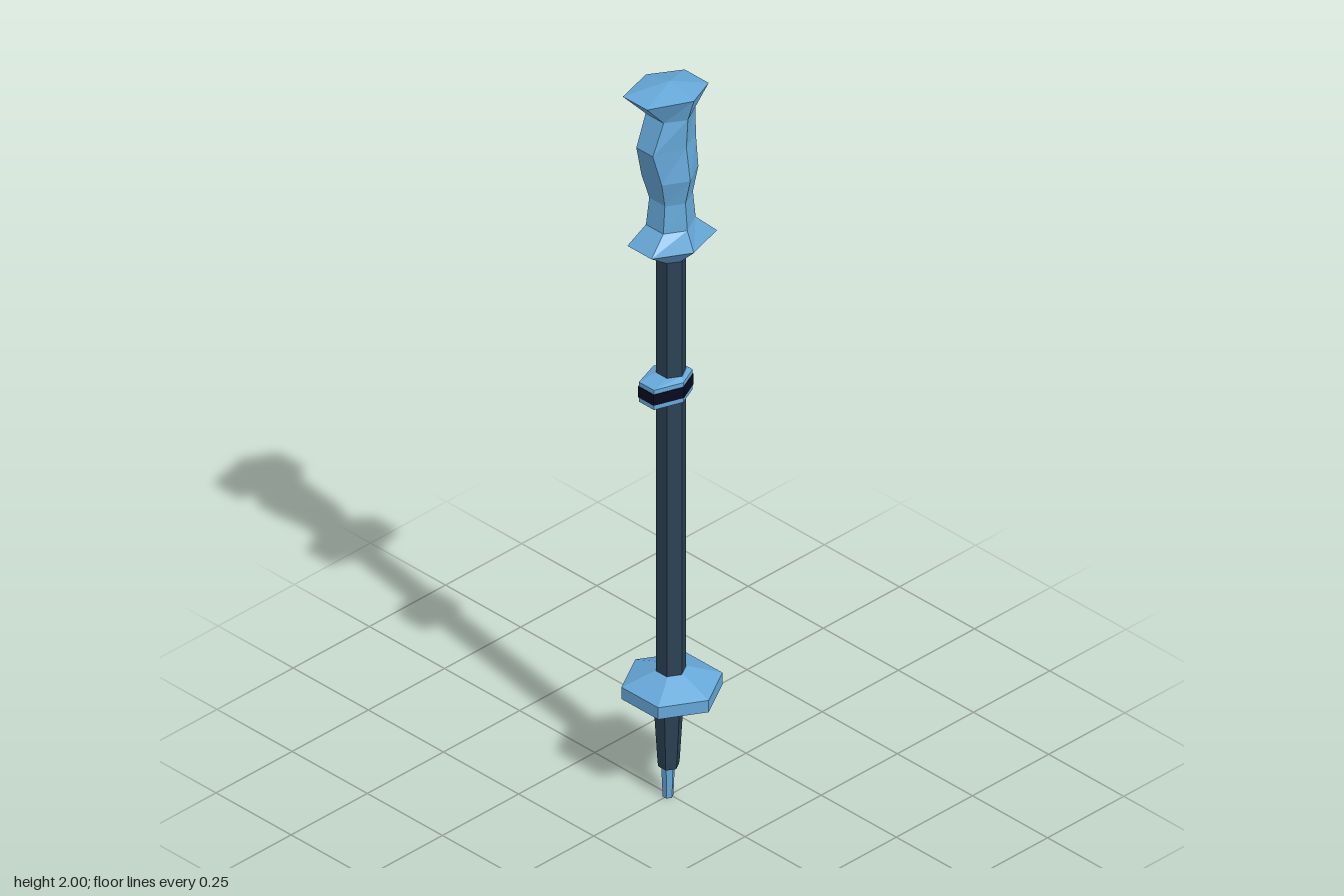
import * as THREE from 'three';

// Hexagonal ring: side points at +-half, flat edges at front and back,
// each of which may sit a little higher or lower than the sides.
function hexRing({ y, half, front, back, mid = 0, frontY = y, backY = y }) {
  const w = half / 2;
  return [
    [half, y, mid], [w, backY, back], [-w, backY, back],
    [-half, y, mid], [-w, frontY, front], [w, frontY, front],
  ];
}

// Skin rings listed from bottom to top, closing both ends with fans.
function loft(rings, bottom, top) {
  const pos = [];
  const tri = (a, b, c) => pos.push(...a, ...b, ...c);
  for (let r = 0; r < rings.length - 1; r++) {
    const lo = rings[r], hi = rings[r + 1];
    for (let i = 0; i < 6; i++) {
      const j = (i + 1) % 6;
      tri(lo[i], lo[j], hi[j]);
      tri(lo[i], hi[j], hi[i]);
    }
  }
  const first = rings[0], last = rings[rings.length - 1];
  for (let i = 0; i < 6; i++) {
    const j = (i + 1) % 6;
    tri(bottom, first[j], first[i]);
    tri(top, last[i], last[j]);
  }
  const g = new THREE.BufferGeometry();
  g.setAttribute('position', new THREE.Float32BufferAttribute(pos, 3));
  g.computeVertexNormals();
  return g;
}

export function createModel() {
  const group = new THREE.Group();
  const material = (name, color) =>
    new THREE.MeshStandardMaterial({ name, color, flatShading: true });
  const blue = material('blue', 0x66a8d8);
  const slate = material('dark slate', 0x2c4254);
  const black = material('blue black', 0x070a20);

  const add = (name, geometry, mat) => {
    const mesh = new THREE.Mesh(geometry, mat);
    mesh.name = name;
    group.add(mesh);
  };

  // Regular hexagonal section, slightly behind centre
  const Z = -0.004;
  const regular = (y, r, z = Z) =>
    hexRing({ y, half: r, front: z + r * 0.866, back: z - r * 0.866, mid: z });
  const prism = (rows, z = Z) => {
    const rings = rows.map(([y, r]) => regular(y, r, z));
    return loft(rings, [0, rows[0][0], z], [0, rows[rows.length - 1][0], z]);
  };

  // Straight parts
  add('tip', prism([[0, 0.013], [0.1, 0.017]], 0.006), blue);
  add('lowerSleeve', prism([[0.085, 0.025], [0.1, 0.027], [0.29, 0.038]], 0.004), slate);
  add('shaft', prism([[0.28, 0.036], [1.53, 0.036]]), slate);
  add('basket', prism([[0.285, 0.122], [0.318, 0.122], [0.352, 0.036]], -0.007), blue);

  // Clamp, longer towards the front, with a dark band round it
  const clampRing = (y, grow) => hexRing({
    y, half: 0.05 + grow, front: 0.077 + grow, back: -0.05 - grow, mid: 0.005,
  });
  add('clamp', loft(
    [regular(1.118, 0.037), clampRing(1.125, 0), clampRing(1.18, 0), regular(1.187, 0.037)],
    [0, 1.118, Z], [0, 1.187, Z]), blue);
  add('clampBand', loft(
    [clampRing(1.138, 0.002), clampRing(1.168, 0.002)],
    [0, 1.138, 0], [0, 1.168, 0]), black);

  // Shaped hand grip
  const grip = [
    { y: 1.51, half: 0.036, front: 0.029, back: -0.035 },
    { y: 1.555, half: 0.08, front: 0.1, back: -0.115, frontY: 1.565, backY: 1.547 },
    { y: 1.607, half: 0.058, front: 0.05, back: -0.056 },
    { y: 1.68, half: 0.052, front: 0.042, back: -0.05 },
    { y: 1.75, half: 0.068, front: 0.06, back: -0.06 },
    { y: 1.838, half: 0.055, front: 0.083, back: -0.058 },
    { y: 1.918, half: 0.06, front: 0.05, back: -0.055 },
    { y: 1.98, half: 0.08, front: 0.115, back: -0.088, frontY: 1.99, backY: 1.972 },
  ].map(hexRing);
  add('grip', loft(grip, [0, 1.51, Z], [0, 2, 0]), blue);

  return group;
}
